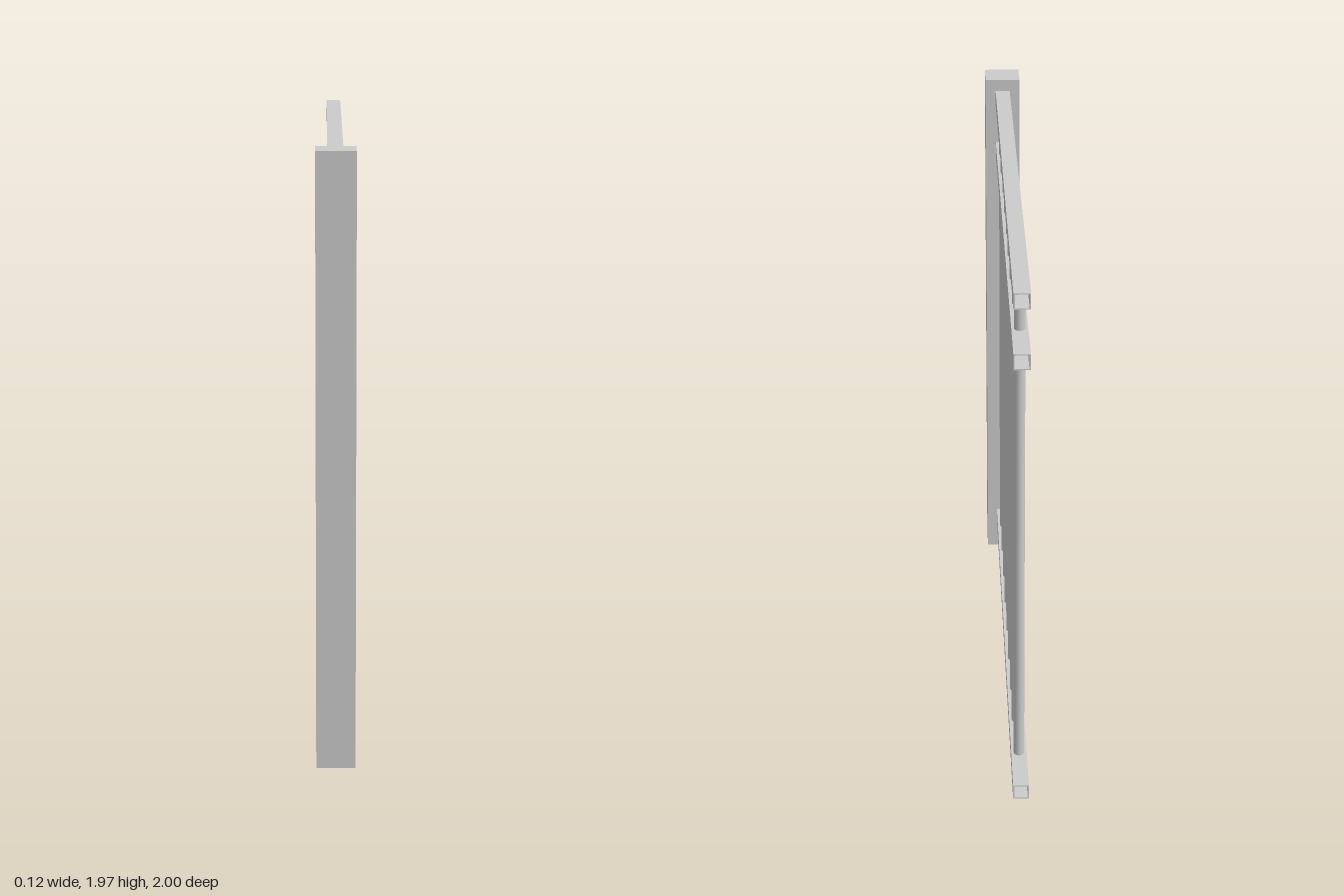
import * as THREE from 'three';

const material = new THREE.MeshStandardMaterial({ color: 0xcccccc });

// Square outline centred on the origin
function square(PathType, size) {
  const h = size / 2;
  const path = new PathType();
  path.moveTo(-h, -h);
  path.lineTo(h, -h);
  path.lineTo(h, h);
  path.lineTo(-h, h);
  path.closePath();
  return path;
}

export function createModel() {
  const model = new THREE.Group();
  model.name = 'fencePanel';

  const add = (name, geometry, x, y, z) => {
    const mesh = new THREE.Mesh(geometry, material);
    mesh.name = name;
    mesh.position.set(x, y, z);
    model.add(mesh);
  };

  // Square end post
  const postHeight = 1.967;
  add('post', new THREE.BoxGeometry(0.125, postHeight, 0.125), 0, postHeight / 2, 0.9375);

  // Hollow square rails, running from the post to the open back end
  const railSize = 0.052;
  const section = square(THREE.Shape, railSize);
  section.holes.push(square(THREE.Path, railSize - 0.008));
  const railGeometry = new THREE.ExtrudeGeometry(section, { depth: 1.875, bevelEnabled: false });
  const rails = { topRail: 1.899, middleRail: 1.702, bottomRail: 0.139 };
  for (const [name, y] of Object.entries(rails)) add(name, railGeometry, 0, y, -1);

  // Round pickets, passing through the lower rails and ending under the top rail
  const picketBottom = 0.012;
  const picketTop = 1.875;
  const picketHeight = picketTop - picketBottom;
  const picketGeometry = new THREE.CylinderGeometry(0.0175, 0.0175, picketHeight, 16);
  for (let i = 0; i < 9; i++) {
    add(`picket${i + 1}`, picketGeometry, 0, picketBottom + picketHeight / 2, 0.743 - i * 0.1945);
  }

  return model;
}
